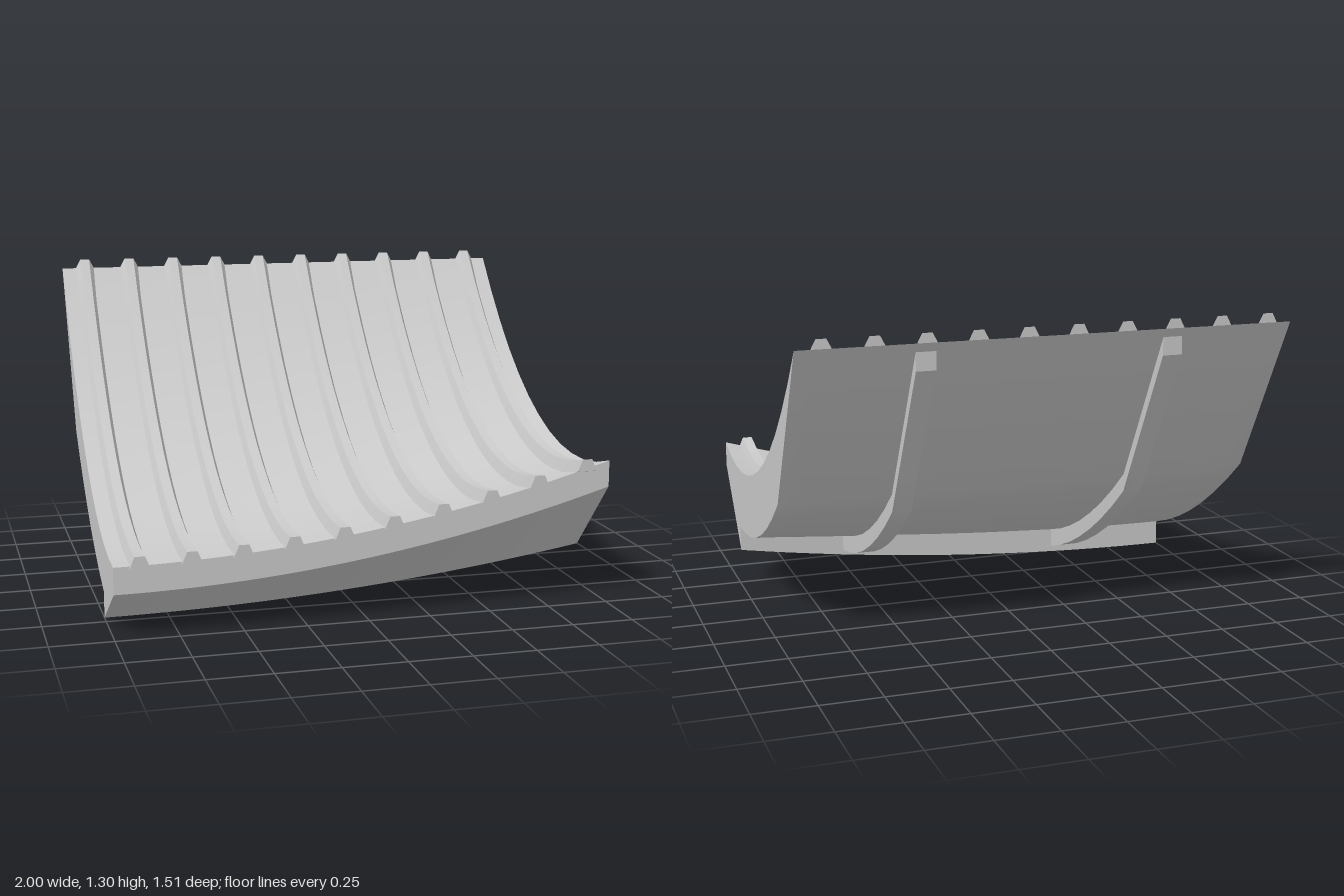
import * as THREE from 'three';
import { toCreasedNormals } from 'three/addons/utils/BufferGeometryUtils.js';

const FRONT = 0.742, BACK = -0.755, LIP = 0.447, KINK = -0.38;

// The slab sags towards -x: 0 at x = 1, 1 at x = -1
const sag = x => 1 - ((x + 1) / 2) ** 2;

// Height of the dished upper surface
function topY(x, z) {
  const t = (z - BACK) / (FRONT - BACK);
  return 0.533 + 0.517 * (z - 0.43) ** 2 - sag(x) * (0.15 * t + 0.15 * t * t);
}

// Height of the underside: curved up to the kink, then straight to the back edge
function underY(x, z) {
  if (z < KINK) {
    return THREE.MathUtils.lerp(underY(x, KINK), topY(x, BACK), (KINK - z) / (KINK - BACK));
  }
  const s = LIP - z;
  const t = (z - KINK) / (LIP - KINK);
  return 0.27 - 0.044 * s + 0.518 * s * s - sag(x) * 0.165 * (0.3 * t + 0.7 * t * t);
}

const range = (a, b, n) => Array.from({ length: n + 1 }, (_, i) => a + (b - a) * i / n);

// Closed solid through matching rings of [x, y, z]; flat2D projects a ring for its end caps
function loft(rings, flat2D) {
  const tris = [];
  const n = rings[0].length;
  for (let i = 0; i < rings.length - 1; i++) {
    for (let j = 0; j < n; j++) {
      const k = (j + 1) % n;
      const a = rings[i][j], b = rings[i][k], c = rings[i + 1][k], d = rings[i + 1][j];
      tris.push([a, b, c], [a, c, d]);
    }
  }
  const first = rings[0], last = rings[rings.length - 1];
  // Caps wind opposite to the side walls along the shared ring
  const area = THREE.ShapeUtils.area(first.map(flat2D));
  for (const [ring, flip] of [[first, area > 0], [last, area < 0]]) {
    const flat = ring.map(flat2D);
    for (const [a, b, c] of THREE.ShapeUtils.triangulateShape(flat, [])) {
      const ccw = THREE.ShapeUtils.area([flat[a], flat[b], flat[c]]) > 0;
      tris.push(ccw === flip ? [ring[a], ring[c], ring[b]] : [ring[a], ring[b], ring[c]]);
    }
  }
  // Turn the solid right side out
  const v = p => new THREE.Vector3(...p);
  const volume = tris.reduce((s, [a, b, c]) => s + v(a).dot(v(b).cross(v(c))), 0);
  if (volume < 0) tris.forEach(t => t.reverse());
  const geometry = new THREE.BufferGeometry();
  geometry.setAttribute('position', new THREE.Float32BufferAttribute(tris.flat(2), 3));
  return toCreasedNormals(geometry, 0.45);
}

export function createModel() {
  const model = new THREE.Group();
  model.name = 'curvedRoof';
  const grey = new THREE.MeshStandardMaterial({ color: 0xcacaca });
  grey.name = 'light grey';

  function add(name, geometry, parent = model) {
    const mesh = new THREE.Mesh(geometry, grey);
    mesh.name = name;
    parent.add(mesh);
  }

  // Roof slab with front fascia, sloping soffit and drip lip
  const slabRings = range(-1, 1, 24).map(x => [
    ...range(FRONT, BACK, 12).map(z => [x, topY(x, z), z]),
    ...range(KINK, LIP, 7).map(z => [x, underY(x, z), z]),
    [x, underY(x, LIP) - 0.107, LIP],
    [x, topY(x, FRONT) - 0.107, FRONT],
  ]);
  add('roofSlab', loft(slabRings, p => new THREE.Vector2(p[2], p[1])));

  const across = p => new THREE.Vector2(p[0], p[1]);

  // Ten raised seams running front to back, their feet sunk into the slab
  const seams = new THREE.Group();
  seams.name = 'seams';
  model.add(seams);
  for (let i = 0; i < 10; i++) {
    const x = -0.9 + 0.2 * i;
    const rings = [0.754, ...range(FRONT, BACK, 12)].map(z => {
      const y = topY(x, z);
      const foot = z > 0 ? y - 0.01 : Math.max(y - 0.01, underY(x, z));
      return [
        [x - 0.04, foot, z], [x + 0.04, foot, z],
        [x + 0.02, y + 0.038, z], [x - 0.02, y + 0.038, z],
      ];
    });
    add('seam', loft(rings, across), seams);
  }

  // Two rafters under the slab, from the lip to just short of the back edge
  for (const x of [-0.5, 0.5]) {
    const stations = [...range(LIP, KINK, 7), -0.5, -0.62, -0.735];
    const rings = stations.map(z => {
      const y = underY(x, z);
      const bottom = y - 0.073 - 0.006 * Math.max(0, z / LIP);
      return [
        [x - 0.04, bottom, z], [x + 0.04, bottom, z],
        [x + 0.04, y + 0.002, z], [x - 0.04, y + 0.002, z],
      ];
    });
    add(x > 0 ? 'leftRafter' : 'rightRafter', loft(rings, across));
  }

  return model;
}
